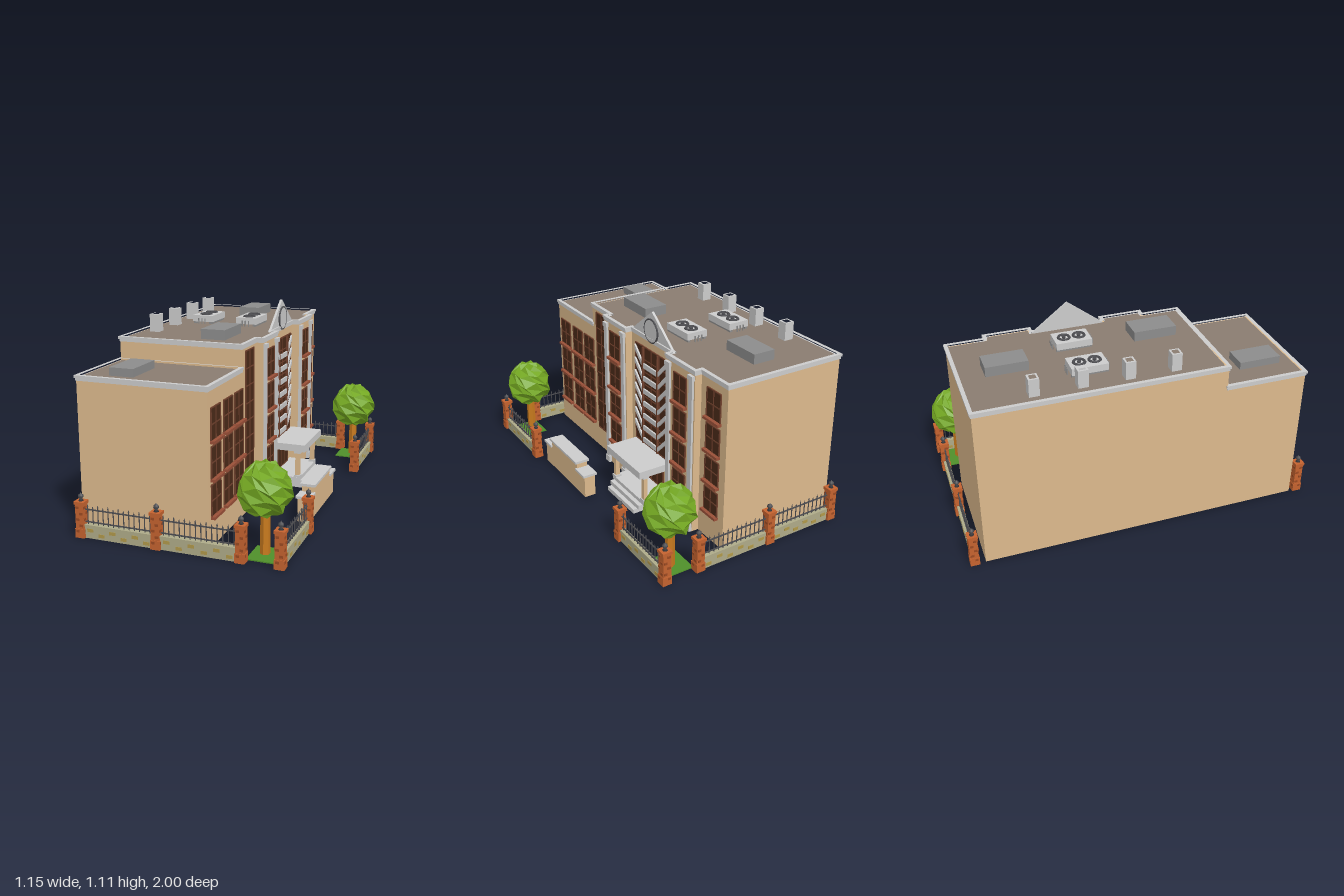
import * as THREE from 'three';

const mat = (c) => new THREE.MeshStandardMaterial({ color: c });
const GREY = mat(0xcccccc), TAN = mat(0xdcb98c), ROOF = mat(0x8a7c70), PLANT = mat(0x8c8c8c), DARK = mat(0x4a2a18),
  FRAME = mat(0x70402c), SILL = mat(0x9a5038), BRICK = mat(0xc4622f), BRICK2 = mat(0x9c4a22), STONE = mat(0xaeaa88),
  STONE2 = mat(0xb0984a), IRON = mat(0x4c4c50), LEAF = mat(0x74a822), BARK = mat(0xc87a1e), GRASS = mat(0x4f8f2a);
LEAF.flatShading = BARK.flatShading = true;

function add(parent, name, geo, m, x = 0, y = 0, z = 0) {
  const mesh = new THREE.Mesh(geo, m);
  mesh.name = name;
  mesh.position.set(x, y, z);
  parent.add(mesh);
  return mesh;
}

// Box given by its limits on each axis
function box(parent, name, m, x0, x1, y0, y1, z0, z1) {
  return add(parent, name, new THREE.BoxGeometry(x1 - x0, y1 - y0, z1 - z0), m, (x0 + x1) / 2, (y0 + y1) / 2, (z0 + z1) / 2);
}

function group(parent, name, x = 0, y = 0, z = 0) {
  const g = new THREE.Group();
  g.name = name;
  g.position.set(x, y, z);
  parent.add(g);
  return g;
}

// Upright prism over a plan of [x, z] points, with an optional hole
function prism(parent, name, m, plan, y0, y1, hole) {
  const pts = (p) => p.map(([x, z]) => new THREE.Vector2(x, -z));
  const shape = new THREE.Shape(pts(plan));
  if (hole) shape.holes.push(new THREE.Path(pts(hole)));
  const geo = new THREE.ExtrudeGeometry(shape, { depth: y1 - y0, bevelEnabled: false }).rotateX(-Math.PI / 2);
  return add(parent, name, geo, m, 0, y0, 0);
}

// Building plans grown outwards by d
const mainPlan = (d) => [[-0.57 - d, -0.91 - d], [0.14 + d, -0.91 - d], [0.14 + d, -0.69 - d], [0.18 + d, -0.69 - d],
  [0.18 + d, -0.43 + d], [0.14 + d, -0.43 + d], [0.14 + d, -0.01 - d], [0.18 + d, -0.01 - d],
  [0.18 + d, 0.23 + d], [0.14 + d, 0.23 + d], [0.14 + d, 0.45 + d], [-0.57 - d, 0.45 + d]];
const wingPlan = (d) => [[-0.57 - d, 0.45 - d], [0.14 + d, 0.45 - d], [0.14 + d, 0.915 + d], [-0.57 - d, 0.915 + d]];

function block(parent, name, plan, top) {
  const g = group(parent, name);
  prism(g, 'walls', TAN, plan(0), 0.01, top - 0.014);
  prism(g, 'roofDeck', ROOF, plan(-0.012), top - 0.014, top - 0.01);
  prism(g, 'lowerCornice', GREY, plan(0.004), top - 0.028, top - 0.014, plan(-0.01));
  prism(g, 'parapet', GREY, plan(0.009), top - 0.014, top, plan(-0.012));
}

// Framed glazing on the facade, split into columns and rows
function glazing(parent, name, x, y0, y1, z, w, cols, rows, sill) {
  const g = group(parent, name, x, 0, z);
  box(g, 'glass', DARK, -0.002, 0.004, y0, y1, -w / 2, w / 2);
  for (let i = 0; i <= cols; i++) {
    const c = -w / 2 + (w * i) / cols;
    box(g, 'mullion', FRAME, 0, 0.007, y0, y1, c - 0.003, c + 0.003);
  }
  for (let j = 0; j <= rows; j++) {
    const c = y0 + ((y1 - y0) * j) / rows;
    box(g, 'transom', FRAME, 0, 0.007, c - 0.003, c + 0.003, -w / 2, w / 2);
  }
  if (sill) box(g, 'sill', SILL, 0, 0.024, y0 - 0.012, y0 + 0.003, -w / 2 - 0.007, w / 2 + 0.007);
}

function centreBay(parent) {
  const g = group(parent, 'centreBay', 0.14, 0, -0.22);
  glazing(g, 'stairGlazing', 0, 0.29, 0.885, 0, 0.325, 4, 8, false);
  // V-shaped bands: a level middle with arms rising outwards
  for (let i = 0; i < 8; i++) {
    const y = 0.3 + i * 0.077;
    if (i < 7) box(g, 'levelBand', GREY, 0, 0.014, y, y + 0.028, -0.075, 0.075);
    for (const s of [-1, 1]) {
      const y2 = Math.min(y + 0.085, 0.855);
      const arm = new THREE.Shape([[0.075, y], [0.16, y2], [0.16, y2 + 0.028], [0.075, Math.min(y + 0.028, 0.883)]].map(([a, b]) => new THREE.Vector2(-s * a, b)));
      const geo = new THREE.ExtrudeGeometry(arm, { depth: 0.014, bevelEnabled: false }).rotateY(Math.PI / 2);
      if (i < 7) add(g, 'slopingBand', geo, GREY);
    }
  }
  for (const s of [-1, 1]) box(g, 'bandPost', FRAME, 0, 0.016, 0.29, 0.885, s * 0.075 - 0.004, s * 0.075 + 0.004);
  // Gable with a round dial
  const tri = new THREE.Shape([[-0.215, 0.945], [0.215, 0.945], [0, 1.11]].map(([a, b]) => new THREE.Vector2(a, b)));
  add(g, 'gable', new THREE.ExtrudeGeometry(tri, { depth: 0.014, bevelEnabled: false }).rotateY(Math.PI / 2), GREY, -0.014);
  add(g, 'dialFace', new THREE.CylinderGeometry(0.065, 0.065, 0.008, 32).rotateZ(Math.PI / 2), GREY, 0.004, 1.002);
  add(g, 'dialRing', new THREE.TorusGeometry(0.065, 0.005, 8, 36).rotateY(Math.PI / 2), IRON, 0.005, 1.002);
}

function entrance(parent) {
  const g = group(parent, 'entrance', 0, 0, -0.235);
  box(g, 'canopy', GREY, 0.14, 0.34, 0.243, 0.285, -0.18, 0.18);
  glazing(g, 'doors', 0.14, 0.085, 0.215, 0.01, 0.24, 4, 1, false);
  box(g, 'landing', GREY, 0.14, 0.31, 0.06, 0.082, -0.175, 0.175);
  box(g, 'middleStep', GREY, 0.14, 0.335, 0.035, 0.06, -0.16, 0.16);
  box(g, 'lowerStep', GREY, 0.14, 0.36, 0.01, 0.035, -0.145, 0.145);
  for (const s of [-1, 1]) {
    box(g, 'column', TAN, 0.28, 0.305, 0.08, 0.243, s * 0.155 - 0.012, s * 0.155 + 0.012);
    box(g, 'columnCap', GREY, 0.274, 0.311, 0.228, 0.243, s * 0.155 - 0.018, s * 0.155 + 0.018);
    box(g, 'columnBase', GREY, 0.274, 0.311, 0.08, 0.094, s * 0.155 - 0.018, s * 0.155 + 0.018);
  }
}

function airUnit(parent, x, z) {
  const g = group(parent, 'airUnit', x, 0.95, z);
  box(g, 'casing', GREY, -0.063, 0.063, 0.012, 0.05, -0.1, 0.1);
  for (const s of [-1, 1]) {
    box(g, 'foot', PLANT, s * 0.05 - 0.008, s * 0.05 + 0.008, 0, 0.012, -0.1, 0.1);
    add(g, 'fanRing', new THREE.TorusGeometry(0.03, 0.008, 6, 24).rotateX(Math.PI / 2), IRON, 0, 0.05, s * 0.042);
    add(g, 'fanHub', new THREE.CylinderGeometry(0.011, 0.011, 0.008, 12), IRON, 0, 0.053, s * 0.042);
    for (const k of [-1, 0, 1]) add(g, 'pipe', new THREE.CylinderGeometry(0.004, 0.004, 0.035, 6), PLANT, k * 0.02, 0.017, s * 0.112);
  }
}

function post(parent, x, z) {
  const g = group(parent, 'gatePost', x, 0, z);
  box(g, 'shaft', BRICK, -0.023, 0.023, 0, 0.185, -0.023, 0.023);
  box(g, 'cap', BRICK, -0.028, 0.028, 0.18, 0.196, -0.028, 0.028);
  box(g, 'foot', BRICK, -0.026, 0.026, 0, 0.05, -0.026, 0.026);
  for (let i = 0; i < 5; i++) {
    const y = 0.03 + i * 0.032, o = i % 2 ? 0.01 : -0.01;
    box(g, 'brick', BRICK2, o - 0.009, o + 0.009, y, y + 0.013, -0.0265, 0.0265);
    box(g, 'brick', BRICK2, -0.0265, 0.0265, y, y + 0.013, -o - 0.009, -o + 0.009);
  }
  const urn = [[0, 0], [0.014, 0], [0.007, 0.01], [0.015, 0.022], [0.013, 0.032], [0.005, 0.037], [0, 0.047]];
  add(g, 'finial', new THREE.LatheGeometry(urn.map(([r, y]) => new THREE.Vector2(r, y)), 8), IRON, 0, 0.196);
}

// Low stone wall with railings, running between two posts
function fence(parent, xa, za, xb, zb) {
  const g = group(parent, 'fence', (xa + xb) / 2, 0, (za + zb) / 2);
  const len = Math.hypot(xb - xa, zb - za) - 0.045, h = len / 2;
  g.rotation.y = Math.abs(zb - za) > 0.01 ? Math.PI / 2 : 0;
  box(g, 'stoneWall', STONE, -h, h, 0, 0.065, -0.012, 0.012);
  box(g, 'coping', STONE, -h, h, 0.063, 0.074, -0.016, 0.016);
  for (let i = 0; i < 6; i++) {
    const c = -h + (len * (i + 0.5)) / 6, y = i % 2 ? 0.012 : 0.035;
    box(g, 'stone', STONE2, c - 0.017, c + 0.017, y, y + 0.018, -0.014, 0.014);
  }
  for (const y of [0.083, 0.15]) box(g, 'rail', IRON, -h, h, y, y + 0.006, -0.003, 0.003);
  const n = Math.round(len / 0.029);
  for (let i = 0; i < n; i++) {
    const c = -h + (len * (i + 0.5)) / n, top = i % 2 ? 0.16 : 0.168;
    box(g, 'picket', IRON, c - 0.002, c + 0.002, 0.072, top, -0.002, 0.002);
    add(g, 'spear', new THREE.ConeGeometry(0.005, 0.016, 4), IRON, c, top + 0.006);
  }
}

function tree(parent, x, z, turn) {
  const g = group(parent, 'tree', x, 0, z);
  g.rotation.y = turn;
  add(g, 'trunk', new THREE.CylinderGeometry(0.024, 0.027, 0.24, 6), BARK, 0, 0.125);
  // Faceted crown: rings zigzag up and down and twist with height
  const geo = new THREE.SphereGeometry(1, 12, 7), p = geo.attributes.position;
  for (let i = 0; i < p.count; i++) {
    const col = (i % 13) % 12, row = Math.floor(i / 13);
    if (row === 0 || row === 7) continue;
    const a = (col / 12) * Math.PI * 2 + row * 0.35, r = Math.hypot(p.getX(i), p.getZ(i)) * (col % 2 ? 0.93 : 1.04);
    p.setXYZ(i, r * Math.cos(a), p.getY(i) + (col % 2 ? 0.1 : -0.1) * (row % 2 ? 1 : 0.5), r * Math.sin(a));
  }
  geo.scale(0.137, 0.135, -0.137);
  // Scaling by a negative mirrors the ring order; the angle above mirrors it back
  geo.computeVertexNormals();
  const crown = add(g, 'crown', geo, LEAF, 0, 0.342);
  crown.material.side = THREE.DoubleSide;
}

export function createModel() {
  const model = new THREE.Group();
  model.name = 'schoolBuilding';
  block(model, 'mainBlock', mainPlan, 0.96);
  block(model, 'lowWing', wingPlan, 0.84);

  // Windows
  for (const z of [0.82, 0.655, 0.505])
    for (const y of [0.17, 0.365, 0.56]) glazing(model, 'wingWindow', 0.14, y, y + 0.165, z, 0.12, 2, 2, true);
  for (const [x, z] of [[0.18, 0.11], [0.18, -0.56], [0.14, -0.8]])
    for (const [a, b] of [[0.725, 0.885], [0.54, 0.69], [0.36, 0.5], [0.18, 0.32]]) glazing(model, 'mainWindow', x, a, b, z, 0.115, 2, 2, true);
  glazing(model, 'stairWindow', 0.14, 0.15, 0.915, 0.34, 0.12, 2, 8, false);

  // Pilasters at the corners of the projecting bays
  for (const z of [0.205, 0.015, -0.455, -0.665]) {
    box(model, 'pilaster', GREY, 0.175, 0.192, 0.04, 0.925, z - 0.016, z + 0.016);
    box(model, 'pilasterCap', GREY, 0.175, 0.197, 0.9, 0.925, z - 0.022, z + 0.022);
    box(model, 'pilasterFoot', GREY, 0.175, 0.197, 0.01, 0.05, z - 0.022, z + 0.022);
  }
  centreBay(model);
  entrance(model);

  // Roof equipment
  box(model, 'roofBox', PLANT, -0.25, -0.12, 0.945, 1.005, -0.77, -0.54);
  box(model, 'roofBox', PLANT, -0.145, -0.005, 0.945, 1.005, 0.08, 0.325);
  box(model, 'wingRoofBox', PLANT, -0.43, -0.295, 0.825, 0.873, 0.59, 0.83);
  airUnit(model, -0.34, -0.255);
  airUnit(model, -0.062, -0.255);
  for (const z of [-0.58, -0.327, -0.075, 0.178]) {
    const sq = (r) => [[-r - 0.483, z - r], [r - 0.483, z - r], [r - 0.483, z + r], [-r - 0.483, z + r]];
    prism(model, 'chimney', GREY, sq(0.028), 0.945, 1.05, sq(0.018));
  }

  // Free-standing stepped wall in front of the entrance
  for (const [a, b, top] of [[-0.088, 0.005, 0.14], [0.005, 0.335, 0.185], [0.335, 0.413, 0.14]]) {
    box(model, 'forecourtWall', TAN, 0.442, 0.508, 0.01, top, a, b);
    box(model, 'forecourtCoping', GREY, 0.432, 0.518, top, top + 0.014, a - 0.007, b + 0.007);
  }

  // Boundary on both sides, with a tree on a patch of grass at each front corner
  for (const s of [-1, 1]) {
    const z = s * 0.967, end = s < 0 ? -0.53 : 0.51;
    for (const x of [-0.545, -0.118, 0.33, 0.53]) post(model, x, z);
    post(model, 0.53, end);
    fence(model, -0.545, z, -0.118, z);
    fence(model, -0.118, z, 0.33, z);
    fence(model, 0.53, z, 0.53, end);
    const cx = s < 0 ? 0.437 : 0.412;
    box(model, 'grass', GRASS, 0.345, 0.51, 0.002, 0.008, s * 0.86 - 0.085, s * 0.86 + 0.085);
    tree(model, cx, s < 0 ? -0.867 : 0.85, s);
  }
  return model;
}
